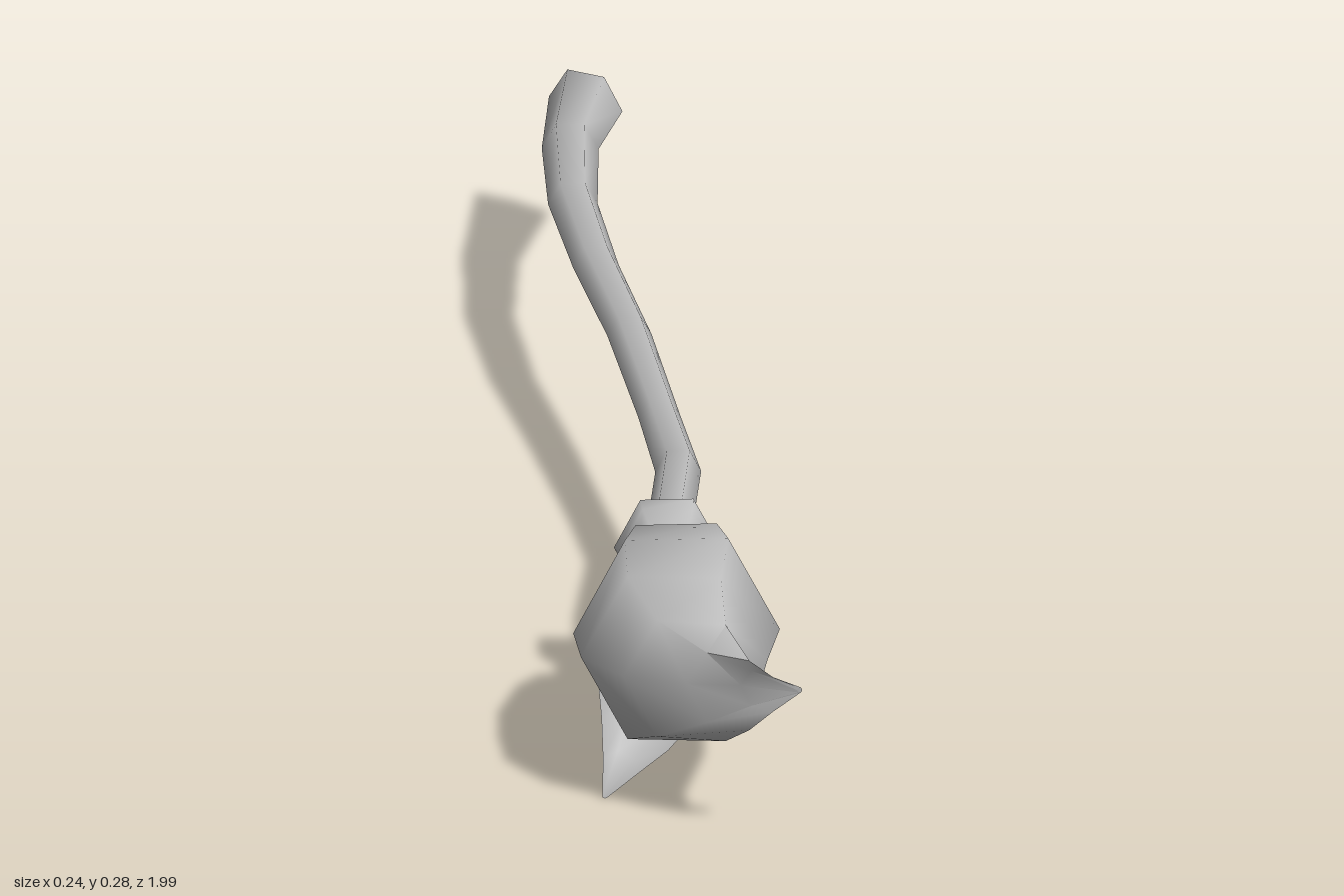
import * as THREE from 'three';
import { toCreasedNormals } from 'three/addons/utils/BufferGeometryUtils.js';

const SIDES = 6;

// Hexagonal loft along z. Section: [x, y, z, halfWidth, halfHeight, dz/dx tilt, dz/dy tilt]
function loft(sections, { spin = 0, caps = true } = {}) {
  const pos = [], idx = [];
  const cs = Math.cos(spin), sn = Math.sin(spin);
  for (const [x, y, z, rx, ry, tx = 0, ty = 0] of sections) {
    for (let j = 0; j < SIDES; j++) {
      const a = (j / SIDES) * Math.PI * 2;
      const u = Math.cos(a) * rx, v = Math.sin(a) * ry / Math.sin(Math.PI / 3);
      const px = u * cs - v * sn, py = u * sn + v * cs;
      pos.push(x + px, y + py, z + px * tx + py * ty);
    }
  }
  for (let i = 0; i < sections.length - 1; i++) {
    for (let j = 0; j < SIDES; j++) {
      const k = (j + 1) % SIDES;
      const a = i * SIDES + j, b = i * SIDES + k;
      idx.push(a, b, b + SIDES, a, b + SIDES, a + SIDES);
    }
  }
  if (caps) {
    const last = (sections.length - 1) * SIDES;
    for (let j = 1; j < SIDES - 1; j++) {
      idx.push(0, j + 1, j, last, last + j, last + j + 1);
    }
  }
  const g = new THREE.BufferGeometry();
  g.setAttribute('position', new THREE.Float32BufferAttribute(pos, 3));
  g.setIndex(idx);
  return toCreasedNormals(g, 1.2);
}

export function createModel() {
  const group = new THREE.Group();
  const grey = new THREE.MeshStandardMaterial({ color: 0xbcbcbc });
  grey.name = 'plain grey';
  const add = (name, geometry) => {
    const mesh = new THREE.Mesh(geometry, grey);
    mesh.name = name;
    group.add(mesh);
  };

  // Crooked stick with a slanted cut at the far end
  add('handle', loft([
    [-0.006, 0.163, -0.973, 0.040, 0.037, 0.66],
    [-0.034, 0.175, -0.80, 0.032, 0.029, 0.1],
    [-0.043, 0.184, -0.60, 0.028, 0.025],
    [-0.029, 0.184, -0.40, 0.026, 0.023, -0.1],
    [-0.003, 0.176, -0.20, 0.025, 0.022, -0.1],
    [0.018, 0.159, 0.02, 0.024, 0.022],
    [0.030, 0.150, 0.17, 0.026, 0.025],
    [0.010, 0.164, 0.36, 0.026, 0.023],
    [0.002, 0.168, 0.53, 0.026, 0.023],
  ]));

  // Flared hollow collar: inner wall, rim, outer wall
  add('collar', loft([
    [0, 0.168, 0.510, 0.026, 0.024],
    [0, 0.168, 0.470, 0.042, 0.040],
    [0, 0.168, 0.450, 0.046, 0.045],
    [0, 0.168, 0.455, 0.060, 0.057],
    [0, 0.168, 0.475, 0.057, 0.053],
    [0, 0.168, 0.512, 0.037, 0.034],
  ], { caps: false }));

  // Two binding bands
  for (const z of [0.506, 0.533]) {
    add('bindingBand', loft([
      [0, 0.168, z, 0.036, 0.034],
      [0, 0.168, z + 0.008, 0.043, 0.040],
      [0, 0.168, z + 0.019, 0.043, 0.040],
      [0, 0.168, z + 0.027, 0.036, 0.034],
    ]));
  }

  // Bulging bristle head curling sideways to a point
  add('bristles', loft([
    [0, 0.168, 0.552, 0.040, 0.036],
    [0, 0.168, 0.572, 0.056, 0.066],
    [0, 0.167, 0.630, 0.092, 0.094],
    [-0.005, 0.166, 0.720, 0.117, 0.111],
    [-0.013, 0.167, 0.810, 0.105, 0.098, 0.1],
    [0.002, 0.170, 0.890, 0.076, 0.070, 0.25],
    [0.040, 0.177, 0.945, 0.046, 0.042, 0.6],
    [0.077, 0.185, 0.968, 0.023, 0.021, 0.9],
    [0.118, 0.195, 0.992, 0.003, 0.003],
  ]));

  // Loose tuft splitting off underneath
  add('looseTuft', loft([
    [-0.012, 0.125, 0.568, 0.036, 0.036],
    [-0.026, 0.092, 0.620, 0.062, 0.045],
    [-0.037, 0.078, 0.690, 0.064, 0.043],
    [-0.054, 0.054, 0.750, 0.043, 0.027],
    [-0.073, 0.030, 0.787, 0.022, 0.014],
    [-0.092, 0.004, 0.815, 0.003, 0.002],
  ], { spin: -0.5 }));

  return group;
}
